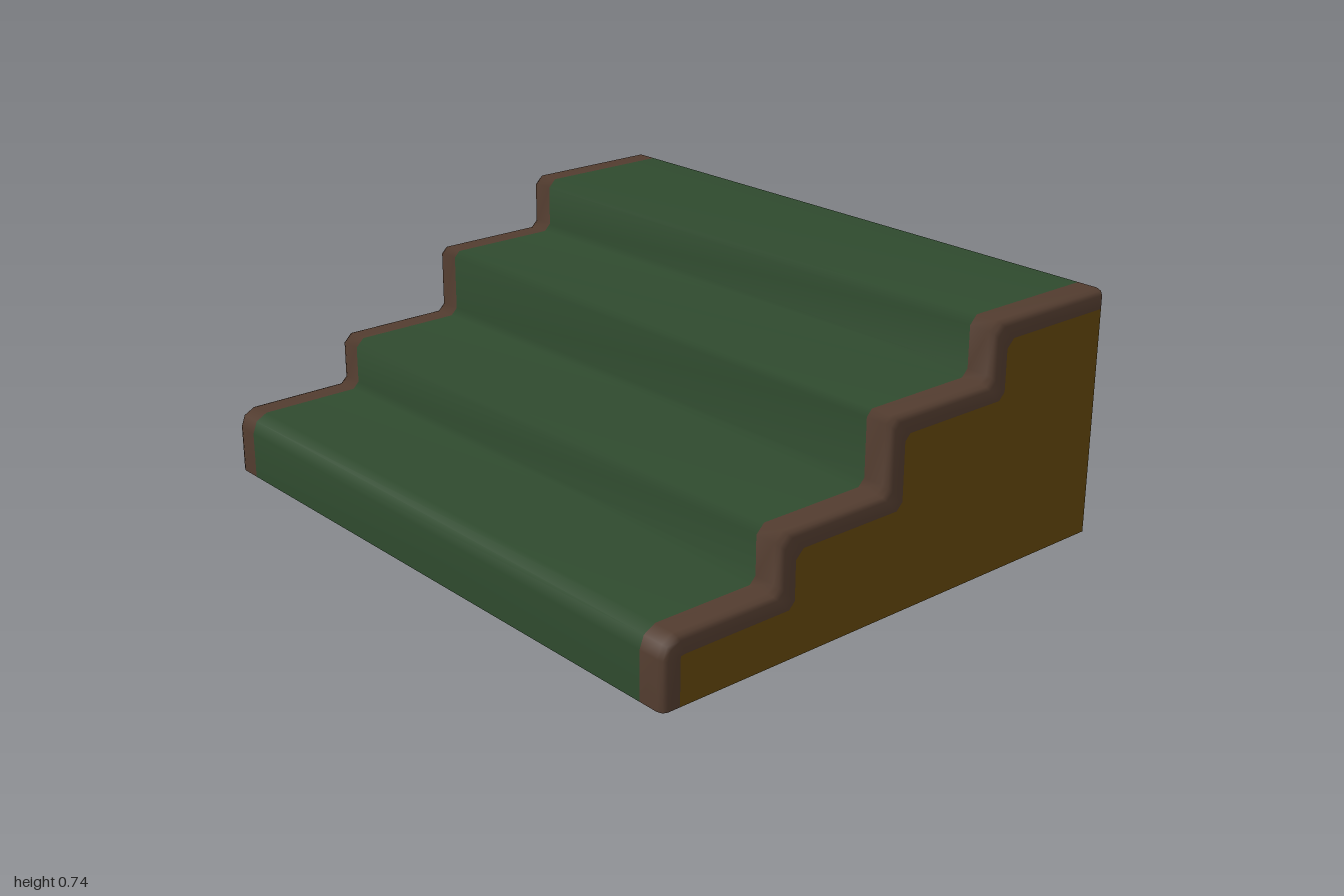
import * as THREE from 'three';

// Stair outline as [z, y], from the front foot up to the back edge
const profile = [
  [0.81, 0], [0.81, 0.143], [0.796, 0.18], [0.76, 0.2],
  [0.444, 0.2], [0.424, 0.22], [0.424, 0.334], [0.398, 0.36],
  [0.057, 0.36], [0.036, 0.381], [0.036, 0.552], [0.018, 0.571],
  [-0.333, 0.571], [-0.354, 0.592], [-0.354, 0.716], [-0.379, 0.741],
  [-0.81, 0.741],
];
const INSET = 0.058;

// Same outline moved inwards, used where the rim meets the side wall
const inner = profile.map(([z, y], i) => [
  i === profile.length - 1 ? z : z - INSET,
  i === 0 ? 0 : y - INSET,
]);
// The lowest nosing closes to a tight corner on the inside
inner[1] = [0.752, 0.13];
inner[2] = [0.75, 0.14];
inner[3] = [0.735, 0.142];

// Skin through copies of the outline; rows are [x, inset fraction], x rising
function sweep(rows) {
  const positions = [];
  const index = [];
  const n = profile.length;
  rows.forEach(([x, t], r) => {
    for (let i = 0; i < n; i++) {
      const [z, y] = profile[i];
      positions.push(x, y + (inner[i][1] - y) * t, z + (inner[i][0] - z) * t);
      if (r < rows.length - 1 && i < n - 1) {
        const a = r * n + i;
        const b = a + n;
        index.push(a, b, b + 1, a, b + 1, a + 1);
      }
    }
  });
  const geometry = new THREE.BufferGeometry();
  geometry.setAttribute('position', new THREE.Float32BufferAttribute(positions, 3));
  geometry.setIndex(index);
  geometry.computeVertexNormals();
  return geometry;
}

// Flat side panel under the rim
function wall(side) {
  const points = inner.map(([z, y]) => new THREE.Vector2(-side * z, y));
  points.push(new THREE.Vector2(side * 0.81, 0));
  const geometry = new THREE.ShapeGeometry(new THREE.Shape(points));
  geometry.rotateY(side * Math.PI / 2);
  geometry.translate(side, 0, 0);
  return geometry;
}

function material(name, color) {
  const m = new THREE.MeshStandardMaterial({ color, side: THREE.DoubleSide });
  m.name = name;
  return m;
}

export function createModel() {
  const group = new THREE.Group();
  group.name = 'stairs';
  const green = material('carpet green', 0x2f4a2e);
  const brown = material('trim brown', 0x523c2f);
  const ochre = material('wall ochre', 0x64480e);

  const add = (name, geometry, mat) => {
    const mesh = new THREE.Mesh(geometry, mat);
    mesh.name = name;
    group.add(mesh);
  };

  // Treads and risers as one open runner
  add('stepRunner', sweep([[-0.915, 0], [0.915, 0]]), green);

  // Rounded rims and side walls, mirrored; back and underside stay open
  const rim = [[0.915, 0], [0.98, 0], [0.995, 0.1], [1, 0.32], [1, 1]];
  for (const [label, side] of [['left', 1], ['right', -1]]) {
    const rows = rim.map(([x, t]) => [side * x, t]);
    if (side < 0) rows.reverse();
    add(label + 'Rim', sweep(rows), brown);
    add(label + 'Wall', wall(side), ochre);
  }
  return group;
}
